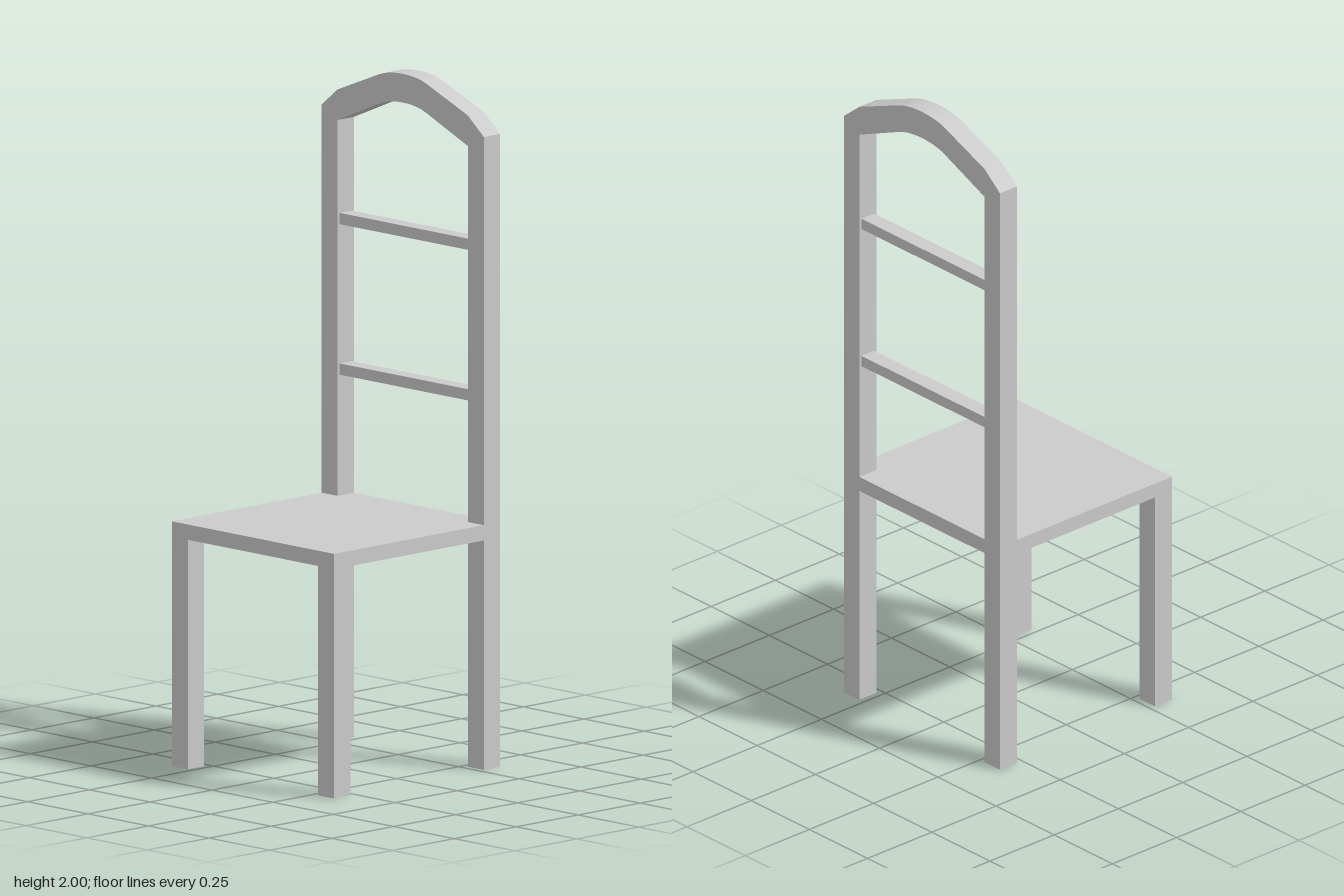
import * as THREE from 'three';
import { toCreasedNormals } from 'three/addons/utils/BufferGeometryUtils.js';

export function createModel() {
  const group = new THREE.Group();
  group.name = 'chair';
  const material = new THREE.MeshStandardMaterial({ color: 0xcccccc });

  const HALF = 0.335;        // half width and half depth of the chair
  const POST = 0.066;        // leg and post thickness
  const INNER = HALF - POST; // inner side of the posts
  const SEAT_TOP = 0.72, SEAT_BOTTOM = 0.675;
  const backX = HALF - POST / 2;

  function add(name, geometry, x = 0, y = 0, z = 0) {
    const mesh = new THREE.Mesh(geometry, material);
    mesh.name = name;
    mesh.position.set(x, y, z);
    group.add(mesh);
  }

  // Back frame: two full-height posts joined by an arched top rail
  const frame = new THREE.Shape();
  frame.moveTo(-HALF, 0);
  frame.lineTo(-INNER, 0);
  frame.lineTo(-INNER, 1.826);
  frame.lineTo(-0.095, 1.9);
  frame.bezierCurveTo(-0.045, 1.921, 0.045, 1.921, 0.095, 1.9);
  frame.lineTo(INNER, 1.826);
  frame.lineTo(INNER, 0);
  frame.lineTo(HALF, 0);
  frame.lineTo(HALF, 1.862);
  frame.lineTo(INNER, 1.916);
  frame.lineTo(0.095, 1.986);
  frame.bezierCurveTo(0.045, 2.005, -0.045, 2.005, -0.095, 1.986);
  frame.lineTo(-INNER, 1.916);
  frame.lineTo(-HALF, 1.862);
  frame.closePath();
  const frameGeometry = new THREE.ExtrudeGeometry(frame, {
    depth: POST, bevelEnabled: false, curveSegments: 10,
  });
  frameGeometry.translate(0, 0, -POST / 2);
  frameGeometry.rotateY(Math.PI / 2);
  add('backFrame', toCreasedNormals(frameGeometry, 0.2), backX);

  // Seat slab
  add('seat', new THREE.BoxGeometry(HALF * 2, SEAT_TOP - SEAT_BOTTOM, HALF * 2),
    0, (SEAT_TOP + SEAT_BOTTOM) / 2, 0);

  // Front legs
  for (const side of [-1, 1]) {
    add('frontLeg', new THREE.BoxGeometry(POST, SEAT_BOTTOM, POST),
      -backX, SEAT_BOTTOM / 2, side * (HALF - POST / 2));
  }

  // Back slats between the posts
  for (const y of [1.092, 1.535]) {
    add('backSlat', new THREE.BoxGeometry(0.05, 0.033, INNER * 2), backX, y, 0);
  }

  return group;
}
